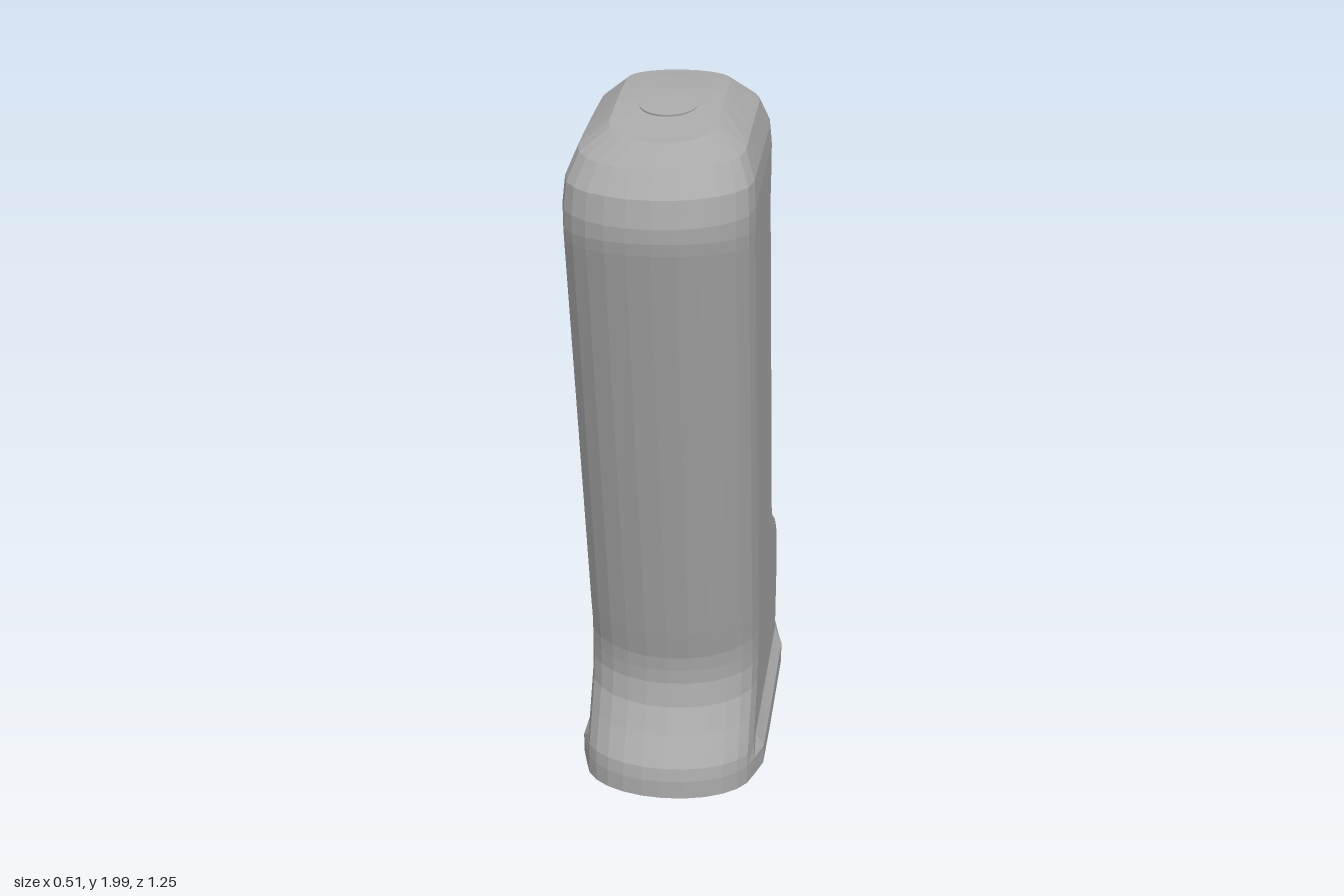
import * as THREE from 'three';

// Side outline from the foot to the crown, one slice per row: front z, y, back z, y
const FOOT = [
  [0.455, 0.115, -0.615, 0.06],
  [0.453, 0.165, -0.62, 0.125],
  [0.445, 0.2, -0.622, 0.15],
  [0.39, 0.27, -0.63, 0.35],
  [0.35, 0.335, -0.62, 0.425],
  [0.335, 0.4, -0.6, 0.5],
  [0.336, 0.44, -0.54, 0.56],
  [0.34, 0.48, -0.435, 0.62],
  [0.36, 0.56, -0.39, 0.66],
];
const SHAFT_TOP = [
  [0.625, 1.69, -0.122, 1.675],
  [0.63, 1.72, -0.13, 1.71],
];
// Crown rows add: half width, front rounding, back rounding, upward bow
const CROWN = [
  [0.63, 1.755, -0.18, 1.835, 0.23, 0.16, 0.2, 0],
  [0.615, 1.82, -0.18, 1.88, 0.225, 0.16, 0.2, 0],
  [0.56, 1.875, -0.127, 1.94, 0.2, 0.15, 0.18, 0.01],
  [0.477, 1.92, -0.02, 1.99, 0.13, 0.1, 0.1, 0.02],
  [0.45, 1.925, 0, 1.989, 0.09, 0.07, 0.07, 0.022],
];
// Points around half a slice, as fractions of width or length
const FRONT = [0, 0.25, 0.48, 0.68, 0.84, 0.95];
const SIDE = [0, 0.09, 0.35, 0.65, 0.93, 1];
const BACK = [0.98, 0.92, 0.82, 0.66, 0.48];
const SLOT = [0.48, 0.24, 0];
const SLOT_Z = -0.605;

// One closed ring of points, optionally inset for the inner wall
function ring(slice, index, inset) {
  const [fz, fy, bz, by, width = 0.23, df = 0.16, db = 0.15, bow = 0] = slice;
  const w = width - inset, zf = fz - inset, zb = bz + inset;
  const power = Math.max(2, 3 - 0.08 * index);
  const half = [];
  const add = (x, z, lift = 0) => {
    const t = (fz - z) / (fz - bz);
    half.push([x, fy + (by - fy) * t + bow * Math.sin(Math.PI * t) + lift, z]);
  };
  const backZ = r => zb + db - db * Math.pow(1 - Math.pow(r, power), 1 / power);

  FRONT.forEach(r => add(r * w, zf - df + df * Math.sqrt(1 - r * r)));
  SIDE.forEach(t => {
    const z = THREE.MathUtils.lerp(zf - df, zb + db, t);
    // the sides of the foot swell into a low band
    const s = THREE.MathUtils.clamp(Math.min((0.31 - z) / 0.09, (z + 0.52) / 0.1), 0, 1);
    add(w + (index < 2 && !inset ? 0.025 * s : 0), z);
  });
  BACK.forEach(r => add(r === 0.48 ? r * width : r * w, backZ(r)));
  // the middle of the back is cut away to a flat slot
  SLOT.forEach(r => add(r * width, Math.max(backZ(r), SLOT_Z), index === 0 ? 0.05 : 0));

  const mirrored = half.slice(1, -1).reverse().map(([x, y, z]) => [-x, y, z]);
  return half.concat(mirrored);
}

// Triangle collector that skips collapsed faces
function surface() {
  const pos = [];
  const v = a => new THREE.Vector3(...a);
  const tri = (a, b, c) => {
    const area = v(b).sub(v(a)).cross(v(c).sub(v(a))).length();
    if (area > 1e-8) pos.push(...a, ...b, ...c);
  };
  const quad = (a, b, c, d) => { tri(a, b, c); tri(a, c, d); };
  return {
    band(lo, hi) {
      lo.forEach((p, j) => {
        const k = (j + 1) % lo.length;
        quad(p, lo[k], hi[k], hi[j]);
      });
    },
    cap(r, down) {
      const N = r.length;
      for (let j = 0; j < N / 2; j++) {
        const q = [r[j], r[j + 1], r[(N - j - 1) % N], r[(N - j) % N]];
        quad(...(down ? q.reverse() : q));
      }
    },
    build() {
      const g = new THREE.BufferGeometry();
      g.setAttribute('position', new THREE.Float32BufferAttribute(pos, 3));
      g.computeVertexNormals();
      return g;
    },
  };
}

export function createModel() {
  const group = new THREE.Group();
  const grey = new THREE.MeshStandardMaterial({ color: 0xa8a8a8, flatShading: true });
  grey.name = 'grey plastic';
  const add = (name, geometry) => {
    const mesh = new THREE.Mesh(geometry, grey);
    mesh.name = name;
    group.add(mesh);
    return mesh;
  };

  // Outer shell with rounded crown
  const outer = [...FOOT, ...SHAFT_TOP, ...CROWN].map((s, i) => ring(s, i, 0));
  const shell = surface();
  for (let i = 0; i + 1 < outer.length; i++) shell.band(outer[i], outer[i + 1]);
  shell.cap(outer[outer.length - 1], false);
  add('gripShell', shell.build());

  // Hollow foot: rim, inner wall and ceiling
  const inner = FOOT.map((s, i) => ring(s, i, 0.045));
  const cavity = surface();
  cavity.band(inner[0], outer[0]);
  for (let i = 0; i + 1 < inner.length; i++) cavity.band(inner[i + 1], inner[i]);
  cavity.cap(inner[inner.length - 1], true);
  add('footCavity', cavity.build());

  // Bolt leaning along the grip, its tip below the foot
  const lean = 0.217;
  const bolt = add('bolt', new THREE.CylinderGeometry(0.046, 0.046, 0.66, 20));
  bolt.position.set(0, 0.333, -0.071);
  bolt.rotation.x = lean;

  // Ribs bracing the bolt inside the foot
  for (const s of [-1, 1]) {
    const rib = add(s > 0 ? 'leftRib' : 'rightRib', new THREE.BoxGeometry(0.09, 0.46, 0.05));
    rib.position.set(s * 0.145, 0.36, -0.065);
    rib.rotation.x = lean;
  }

  // Bolt cover on the crown
  const cover = add('boltCover', new THREE.CylinderGeometry(0.072, 0.072, 0.009, 32));
  cover.position.set(0, 1.966, 0.28);
  cover.rotation.x = 0.18;
  return group;
}
